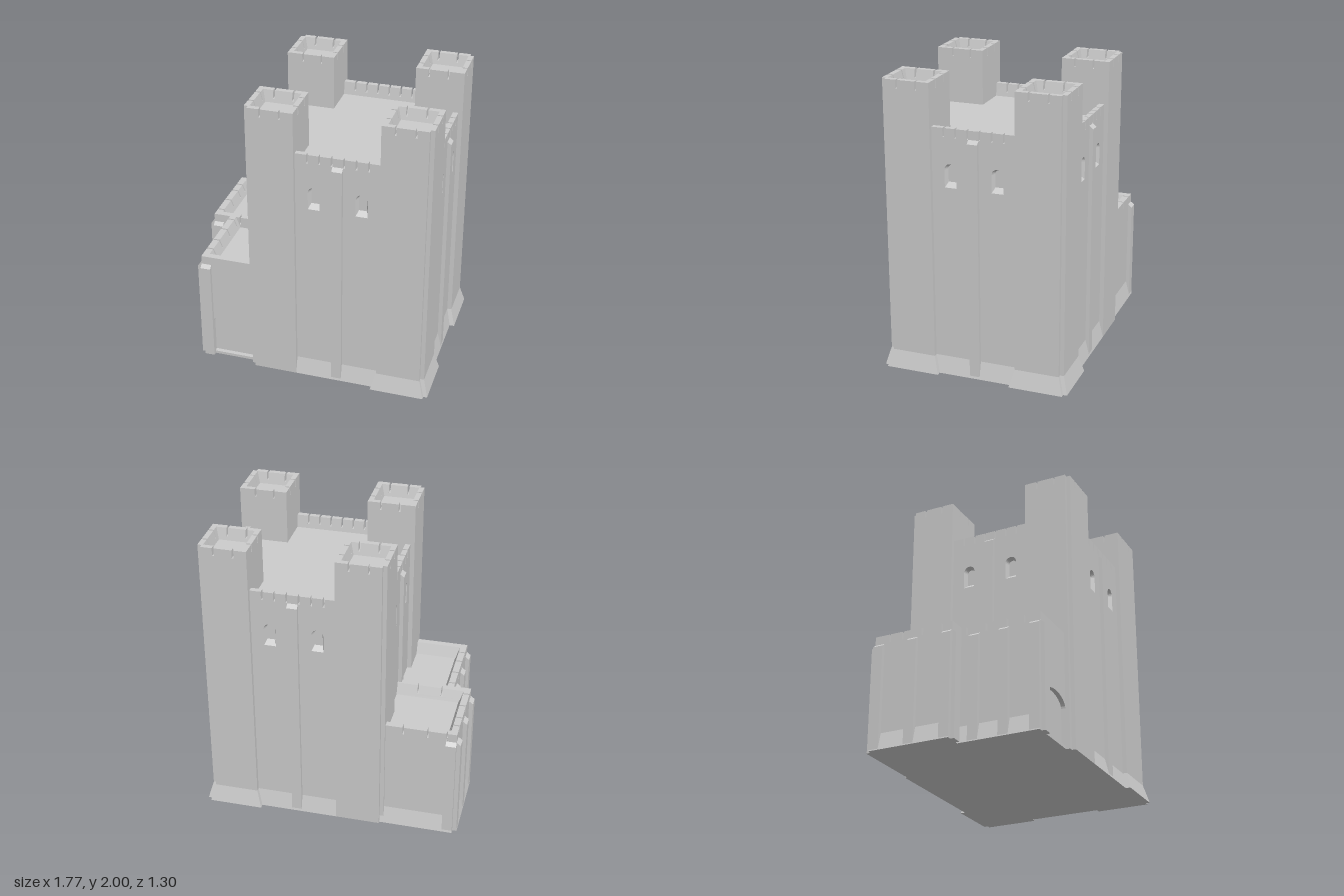
import * as THREE from 'three';

const stone = new THREE.MeshStandardMaterial({ color: 0xcccccc, flatShading: true });
const thin = new THREE.MeshStandardMaterial({ color: 0xcccccc, flatShading: true, side: THREE.DoubleSide });

function add(parent, name, geometry, x = 0, y = 0, z = 0, rot = 0, material = stone) {
  const mesh = new THREE.Mesh(geometry, material);
  mesh.name = name;
  mesh.position.set(x, y, z);
  mesh.rotation.y = rot;
  parent.add(mesh);
  return mesh;
}

function addGroup(parent, name, x = 0, z = 0, rot = 0) {
  const group = new THREE.Group();
  group.name = name;
  group.position.set(x, 0, z);
  group.rotation.y = rot;
  parent.add(group);
  return group;
}

// Box given by its limits
function block(parent, name, x0, x1, y0, y1, z0, z1) {
  add(parent, name, new THREE.BoxGeometry(x1 - x0, y1 - y0, z1 - z0), (x0 + x1) / 2, (y0 + y1) / 2, (z0 + z1) / 2);
}

// Profile of [outward, y] points, run along local x from x0 to x1
function run(profile, x0, x1) {
  const shape = new THREE.Shape(profile.map(([o, y]) => new THREE.Vector2(o, y)));
  return new THREE.ExtrudeGeometry(shape, { depth: x1 - x0, bevelEnabled: false }).rotateY(-Math.PI / 2).translate(x1, 0, 0);
}

// Skin between two loops, closed at the second
function loft(a, b) {
  const centre = b.reduce((s, p) => s.add(p), new THREE.Vector3()).divideScalar(b.length);
  const points = [];
  a.forEach((p, i) => {
    const j = (i + 1) % a.length;
    points.push(p, a[j], b[j], p, b[j], b[i], b[i], b[j], centre);
  });
  const geometry = new THREE.BufferGeometry().setFromPoints(points);
  geometry.computeVertexNormals();
  return geometry;
}

// Outline of an opening with an arched head of the given rise
function arch(cx, half, y0, spring, rise, n = 12) {
  const points = [new THREE.Vector2(cx - half, y0), new THREE.Vector2(cx + half, y0)];
  for (let i = 0; i <= n; i++) {
    const t = (Math.PI * i) / n;
    points.push(new THREE.Vector2(cx + half * Math.cos(t), spring + rise * Math.sin(t)));
  }
  return points;
}

function panel(x0, x1, y1, depth, holes) {
  const shape = new THREE.Shape([[x0, 0], [x1, 0], [x1, y1], [x0, y1]].map(([x, y]) => new THREE.Vector2(x, y)));
  shape.holes = holes.map((h) => new THREE.Path(h.slice().reverse()));
  return new THREE.ExtrudeGeometry(shape, { depth, bevelEnabled: false });
}

// Parapet with a sloping inner face, cut by narrow slits
function parapet(parent, { x, z, rot, x0, x1, slits, floor, gap, top, t, b }) {
  const group = addGroup(parent, 'parapet', x, z, rot);
  const width = (y) => b + ((t - b) * (y - floor)) / (top - floor);
  const band = (lo, hi) => [[0, lo], [0, hi], [-width(hi), hi], [-width(lo), lo]];
  add(group, 'parapetBase', run(band(floor, gap), x0, x1));
  const half = 0.006;
  const cuts = [...slits].sort((p, q) => p - q);
  for (let i = 0; i <= cuts.length; i++) {
    const from = i === 0 ? x0 : cuts[i - 1] + half;
    const to = i === cuts.length ? x1 : cuts[i] - half;
    add(group, 'merlon', run(band(gap, top), from, to));
  }
}

// Flat strip of masonry with a sloping head
function buttress(parent, x, z, rot, height, depth = 0.026, width = 0.07) {
  const profile = [[-0.01, 0], [depth, 0], [depth, height - 0.022], [0, height], [-0.01, height]];
  add(parent, 'buttress', run(profile, -width / 2, width / 2), x, 0, z, rot);
}

const plinthProfile = [[-0.01, 0], [0.03, 0], [0, 0.12], [-0.01, 0.12]];

// One side of the keep, facing local +z
function keepSide(keep, rot) {
  const side = addGroup(keep, 'keepSide', 0, 0, rot);
  const face = 0.585;
  const centres = [-0.16, 0.16];
  const outer = centres.map((c) => arch(c, 0.04, 1.315, 1.435, 0.04));
  add(side, 'wall', panel(-0.3, 0.3, 1.62, 0.05, outer), 0, 0, face - 0.05);
  centres.forEach((c, i) => {
    const inner = arch(c, 0.027, 1.345, 1.435, 0.027);
    const at = (pts, z) => pts.map((p) => new THREE.Vector3(p.x, p.y, z));
    add(side, 'window', loft(at(outer[i], face), at(inner, face - 0.035)), 0, 0, 0, 0, thin);
  });
  add(side, 'wallPlinth', run(plinthProfile, -0.3, 0.3), 0, 0, face);
  buttress(side, 0, face, 0, 1.65);
  const slits = [-2.5, -1.5, -0.5, 0.5, 1.5, 2.5].map((k) => k * 0.0815);
  parapet(side, { x: 0, z: face, rot: 0, x0: -0.29, x1: 0.29, slits, floor: 1.62, gap: 1.65, top: 1.71, t: 0.036, b: 0.05 });
}

// Corner tower, with its outer corner towards local +x +z
function cornerTower(keep, rot, flared) {
  const pivot = addGroup(keep, 'cornerTower', 0, 0, rot);
  const tower = addGroup(pivot, 'tower', 0.45, 0.45);
  const h = 0.165, n = 0.138;
  const plan = [[-h, -h], [h, -h], [h, n], [n, n], [n, h], [-h, h]];
  const shape = new THREE.Shape(plan.map(([x, z]) => new THREE.Vector2(x, -z)));
  add(tower, 'towerShaft', new THREE.ExtrudeGeometry(shape, { depth: 1.92, bevelEnabled: false }).rotateX(-Math.PI / 2));
  for (let k = 0; k < 4; k++) {
    const a = (k * Math.PI) / 2;
    const s = k === 0 || k === 3 ? 1 : -1;
    parapet(tower, {
      x: h * Math.sin(a), z: h * Math.cos(a), rot: a,
      x0: k === 1 ? -n : -h, x1: k === 0 ? n : h,
      slits: [0.055 * s, -0.075 * s], floor: 1.92, gap: 1.945, top: 2, t: 0.035, b: 0.055,
    });
  }
  if (flared) {
    const spread = (v) => v + 0.033 * Math.sign(v);
    const upper = plan.map(([x, z]) => new THREE.Vector3(x, 0.12, z));
    const lower = plan.map(([x, z]) => new THREE.Vector3(spread(x), 0, spread(z)));
    add(tower, 'towerPlinth', loft(upper, lower), 0, 0, 0, 0, thin);
  }
}

// Low two-part building against the side of the keep
function buildAnnex(root) {
  const annex = addGroup(root, 'annex');
  const west = -Math.PI / 2;
  const inner = -0.34;
  const crown = { floor: 0.72, gap: 0.745, top: 0.8, t: 0.045, b: 0.075 };
  block(annex, 'rearBlock', -0.86, inner, 0, 0.72, -0.57, 0);
  block(annex, 'frontBlock', -0.74, inner, 0, 0.72, -0.01, 0.53);

  // Front wall with the arched doorway
  add(annex, 'doorWall', panel(-0.74, inner, 0.72, 0.03, [arch(-0.527, 0.147, 0.02, 0.275, 0.07, 16)]), 0, 0, 0.53);

  parapet(annex, { ...crown, x: 0, z: -0.57, rot: Math.PI, x0: -inner, x1: 0.86, slits: [0.5, 0.665, 0.795] });
  parapet(annex, { ...crown, x: 0, z: 0, rot: 0, x0: -0.86, x1: inner, slits: [-0.665, -0.5] });
  parapet(annex, { ...crown, x: 0, z: 0.56, rot: 0, x0: -0.74, x1: inner, slits: [] });
  parapet(annex, { ...crown, x: -0.86, z: 0, rot: west, x0: -0.57, x1: 0, slits: [-0.46, -0.365, -0.22, -0.075] });
  parapet(annex, { ...crown, x: -0.74, z: 0, rot: west, x0: 0, x1: 0.56, slits: [0.04, 0.18, 0.33, 0.45] });

  add(annex, 'rearPlinth', run(plinthProfile, -inner, 0.86), 0, 0, -0.57, Math.PI);
  add(annex, 'sidePlinth', run(plinthProfile, -0.57, 0), -0.86, 0, 0, west);
  add(annex, 'sidePlinth', run(plinthProfile, 0, 0.56), -0.74, 0, 0, west);

  for (const z of [-0.535, -0.285, -0.035]) buttress(annex, -0.86, z, west, 0.74, 0.028);
  for (const z of [0.1, 0.31, 0.525]) buttress(annex, -0.74, z, west, 0.74, 0.028);
  buttress(annex, -0.825, -0.57, Math.PI, 0.74);
  buttress(annex, -0.825, 0, 0, 0.74);
  buttress(annex, -0.705, 0.56, 0, 0.74);
}

export function createModel() {
  const root = new THREE.Group();
  root.name = 'castle';
  const keep = addGroup(root, 'keep', 0.235, 0);
  block(keep, 'keepCore', -0.54, 0.54, 0, 1.62, -0.54, 0.54);
  for (let k = 0; k < 4; k++) {
    keepSide(keep, (k * Math.PI) / 2);
    cornerTower(keep, (k * Math.PI) / 2, k < 2);
  }
  buildAnnex(root);
  return root;
}
